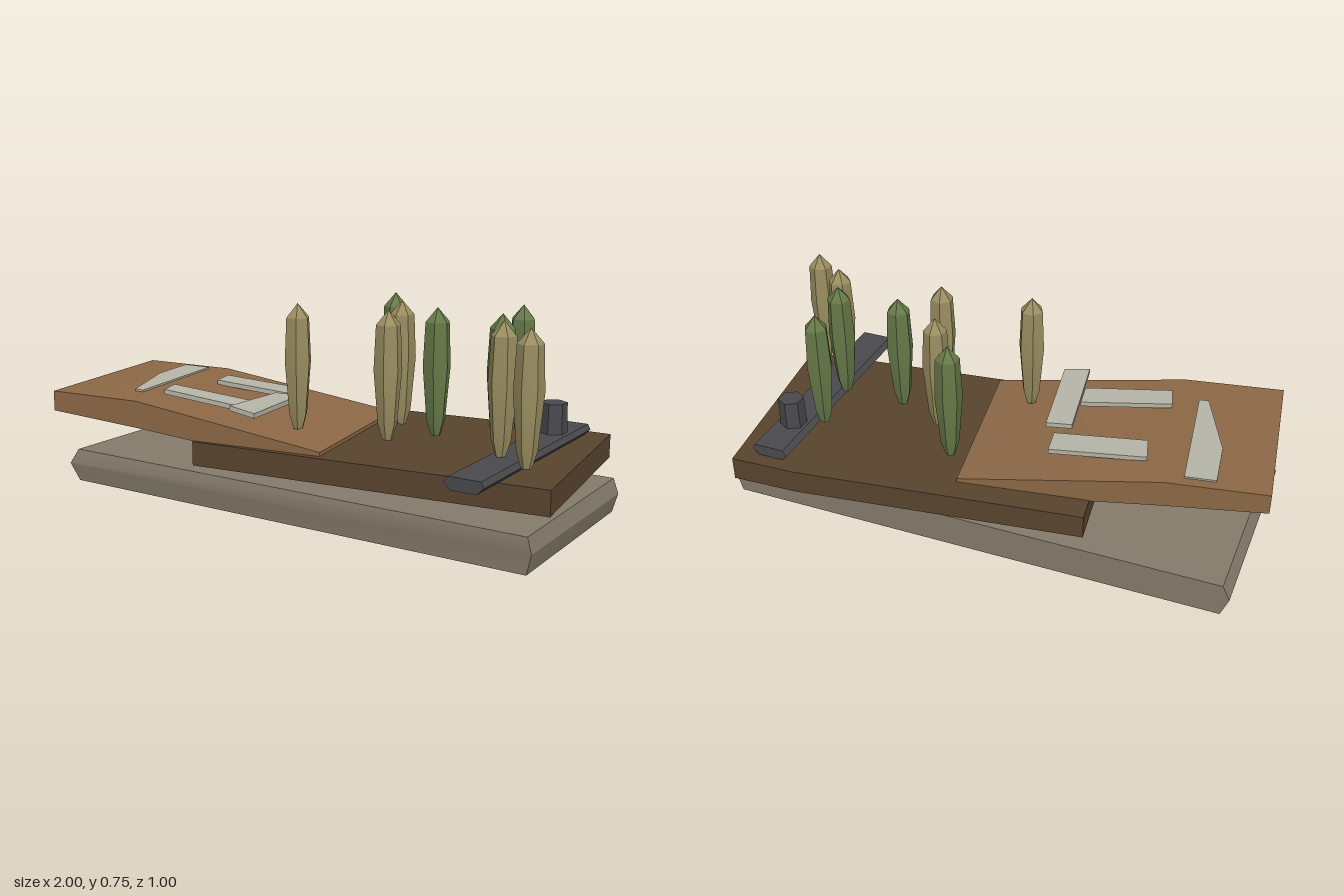
import * as THREE from 'three';
import { toCreasedNormals } from 'three/addons/utils/BufferGeometryUtils.js';

const paint = (name, color) => {
  const m = new THREE.MeshStandardMaterial({ color });
  m.name = name;
  return m;
};

// Solid through equal-length loops, each counter-clockwise seen from the last loop's end
function loft(loops) {
  const n = loops[0].length, index = [];
  for (let k = 0; k < loops.length - 1; k++) {
    for (let i = 0; i < n; i++) {
      const j = (i + 1) % n, a = k * n, b = a + n;
      index.push(a + i, a + j, b + j, a + i, b + j, b + i);
    }
  }
  const last = (loops.length - 1) * n;
  for (let i = 1; i < n - 1; i++) {
    index.push(0, i + 1, i, last, last + i, last + i + 1);
  }
  const geo = new THREE.BufferGeometry();
  geo.setAttribute('position', new THREE.Float32BufferAttribute(loops.flat(2), 3));
  geo.setIndex(index);
  return toCreasedNormals(geo, 0.35);
}

// Outline of [x, z] corners placed at height y
const level = (outline, y) => outline.map(([x, z]) => [x, y, z]);

export function createModel() {
  const model = new THREE.Group();
  model.name = 'layeredSlabs';
  const stone = paint('stone', 0x857b6b);
  const earth = paint('dark earth', 0x59442e);
  const clay = paint('clay', 0x8c6846);
  const pale = paint('pale grey', 0xb6b5a8);
  const iron = paint('iron', 0x4a4a4e);
  const green = paint('leaf green', 0x667a48);
  const straw = paint('straw', 0x9a8e60);

  const add = (name, geo, mat) => {
    const mesh = new THREE.Mesh(geo, mat);
    mesh.name = name;
    model.add(mesh);
    return mesh;
  };

  // Base slab, slightly bulged at mid height
  const base = [[-0.91, -0.375], [-0.91, 0.385], [0.97, 0.375], [0.965, -0.375]];
  const bulge = [[-0.937, -0.375], [-0.937, 0.405], [0.985, 0.375], [0.985, -0.375]];
  add('baseSlab', loft([level(base, 0), level(bulge, 0.07), level(base, 0.125)]), stone);

  // Middle slab, turned on the base
  const middle = [[-0.405, -0.35], [-0.31, 0.42], [0.995, 0.265], [0.9, -0.5], [0.65, -0.49]];
  add('middleSlab', loft([level(middle, 0.162), level(middle, 0.25)]), earth);

  // Tilted slab: [back x, back z, front x, front z, bottom, top]
  const stations = [
    [-1, -0.16, -0.91, 0.5, 0.302, 0.377],
    [-0.64, -0.215, -0.55, 0.445, 0.272, 0.372],
    [0.08, -0.325, 0.18, 0.335, 0.2, 0.264],
  ];
  add('tiltedSlab', loft(stations.map(([bx, bz, fx, fz, lo, hi]) =>
    [[fx, lo, fz], [bx, lo, bz], [bx, hi, bz], [fx, hi, fz]])), clay);

  // Pale plates: corners [x, top y, z]
  const plate = (name, corners, thick) =>
    add(name, loft([corners.map(([x, y, z]) => [x, y - thick, z]), corners]), pale);
  plate('taperedPlate', [[-0.81, 0.381, -0.15], [-0.785, 0.381, 0.04], [-0.665, 0.381, 0.32],
    [-0.63, 0.38, 0.315], [-0.7, 0.379, -0.165]], 0.008);
  plate('backPlate', [[-0.55, 0.375, -0.1], [-0.525, 0.375, 0], [-0.185, 0.35, -0.045], [-0.2, 0.35, -0.15]], 0.018);
  plate('frontPlate', [[-0.55, 0.396, 0.225], [-0.525, 0.396, 0.315], [-0.2, 0.36, 0.265], [-0.215, 0.36, 0.165]], 0.018);
  plate('crossPlate', [[-0.235, 0.362, 0.01], [-0.185, 0.386, 0.36], [-0.085, 0.368, 0.35], [-0.14, 0.36, -0.01]], 0.018);

  // Beam across the middle slab
  const beam = [[0.705, 0.27], [0.73, 0.247], [0.82, 0.247], [0.845, 0.272], [0.835, 0.292], [0.72, 0.292]];
  add('beam', loft([-0.44, 0.43].map(z => beam.map(([x, y]) => [x, y, z]))), iron);

  // Short stub standing on the beam
  const stub = add('stub', toCreasedNormals(new THREE.CylinderGeometry(0.047, 0.05, 0.12, 6), 0.5), iron);
  stub.position.set(0.775, 0.34, -0.262);

  // Upright pointed trees
  const profile = [[0, 0], [0.018, 0.004], [0.034, 0.06], [0.05, 0.25], [0.043, 0.405], [0, 0.455]]
    .map(([r, y]) => new THREE.Vector2(r, y));
  const treeGeo = toCreasedNormals(new THREE.LatheGeometry(profile, 6), 0.6);
  const trees = [
    [0.145, -0.23, green], [0.45, 0.01, green], [0.67, -0.21, green], [0.695, 0.01, green],
    [0.265, -0.07, straw], [0.34, 0.155, straw], [-0.005, 0.195, straw], [0.76, 0.138, straw], [0.89, 0.222, straw],
  ];
  trees.forEach(([x, z, mat], i) => {
    const tree = add('tree' + (i + 1), treeGeo, mat);
    tree.position.set(x, 0.29, z);
    tree.rotation.y = i * 1.3;
  });
  return model;
}
